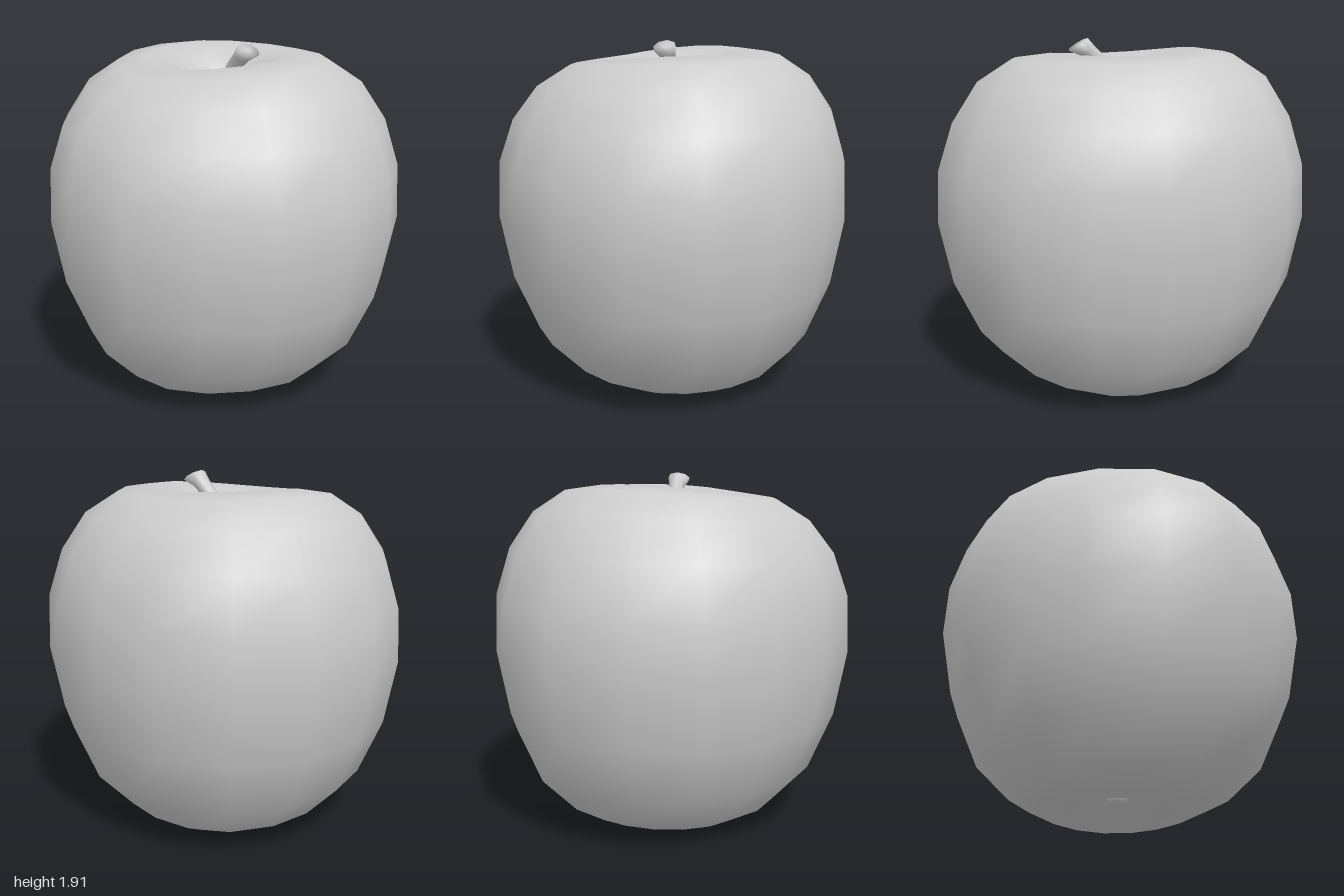
import * as THREE from 'three';
import { mergeVertices } from 'three/addons/utils/BufferGeometryUtils.js';

// Skin a stack of rings with smooth normals; point(ring, angle) gives [x, y, z]
function loft(rings, sides, point) {
  const pos = [], index = [];
  rings.forEach((ring) => {
    for (let j = 0; j < sides; j++) pos.push(...point(ring, (j / sides) * Math.PI * 2));
  });
  for (let i = 0; i < rings.length - 1; i++) {
    for (let j = 0; j < sides; j++) {
      const k = (j + 1) % sides;
      const a = i * sides + j, b = a + sides, c = i * sides + k, d = c + sides;
      index.push(a, b, c, c, b, d);
    }
  }
  let geo = new THREE.BufferGeometry();
  geo.setAttribute('position', new THREE.Float32BufferAttribute(pos, 3));
  geo.setIndex(index);
  geo = mergeVertices(geo); // joins the poles
  geo.computeVertexNormals();
  return geo;
}

export function createModel() {
  const grey = new THREE.MeshStandardMaterial({ color: 0xcccccc });
  grey.name = 'plain grey';
  const group = new THREE.Group();
  group.name = 'apple';
  const add = (name, geo) => {
    const mesh = new THREE.Mesh(geo, grey);
    mesh.name = name;
    group.add(mesh);
    return mesh;
  };

  // Fruit: [radius, height] from the bottom hollow round to the top hollow
  const profile = [
    [0, 0.11], [0.1, 0.095], [0.24, 0.035], [0.415, 0.012], [0.6, 0.105], [0.795, 0.3],
    [0.93, 0.605], [0.998, 0.955], [0.985, 1.25], [0.905, 1.495], [0.77, 1.69],
    [0.59, 1.803], [0.4, 1.828], [0.24, 1.765], [0.11, 1.62], [0.04, 1.52], [0, 1.5],
  ];
  // Slightly uneven girth around the sixteen sides
  const girth = [1, 0.98, 0.975, 0.99, 0.995, 0.97, 0.97, 0.985, 1, 1.01, 1, 0.955, 0.925, 0.94, 0.96, 0.98];
  add('fruit', loft(profile, 16, ([r, y], t) => {
    const g = girth[Math.round((t / (Math.PI * 2)) * 16) % 16];
    const amount = Math.min(1, r / 0.4);
    const crown = THREE.MathUtils.smoothstep(y, 1, 1.8) * amount;
    const base = (1 - THREE.MathUtils.smoothstep(y, 0, 0.9)) * amount;
    const shoulder = r > 0.5 ? Math.exp(-(((y - 1.35) / 0.2) ** 2)) : 0;
    const wave = Math.cos(2 * t);
    const lift = crown * (0.012 * wave - 0.022 * Math.sin(t) - 0.008 * Math.cos(t))
      + base * 0.012 * wave - shoulder * 0.028 * wave;
    const shift = 1 - Math.min(1, r);
    return [r * g * Math.cos(t) - 0.03 * shift, y + lift, r * g * Math.sin(t) - 0.035 * r - 0.02 * shift];
  }));

  // Stem: [x, y, radius, lean] leaning to the left, flared and closed at the tip
  const stemPath = [
    [-0.03, 1.46, 0.045, 0], [-0.01, 1.58, 0.038, 0.2], [0.035, 1.69, 0.036, 0.42],
    [0.1, 1.78, 0.038, 0.58], [0.17, 1.84, 0.046, 0.6], [0.22, 1.874, 0.062, 0.55],
    [0.22, 1.874, 0, 0.55],
  ];
  add('stem', loft(stemPath, 8, ([x, y, r, lean], t) => [
    x + r * Math.cos(t) * Math.cos(lean),
    y - r * Math.cos(t) * Math.sin(lean),
    r * Math.sin(t) - 0.02,
  ]));

  // Small nub in the bottom hollow
  const nub = add('blossomEnd', new THREE.SphereGeometry(0.058, 10, 8));
  nub.scale.y = 0.7;
  nub.position.set(-0.03, 0.095, -0.02);

  return group;
}
